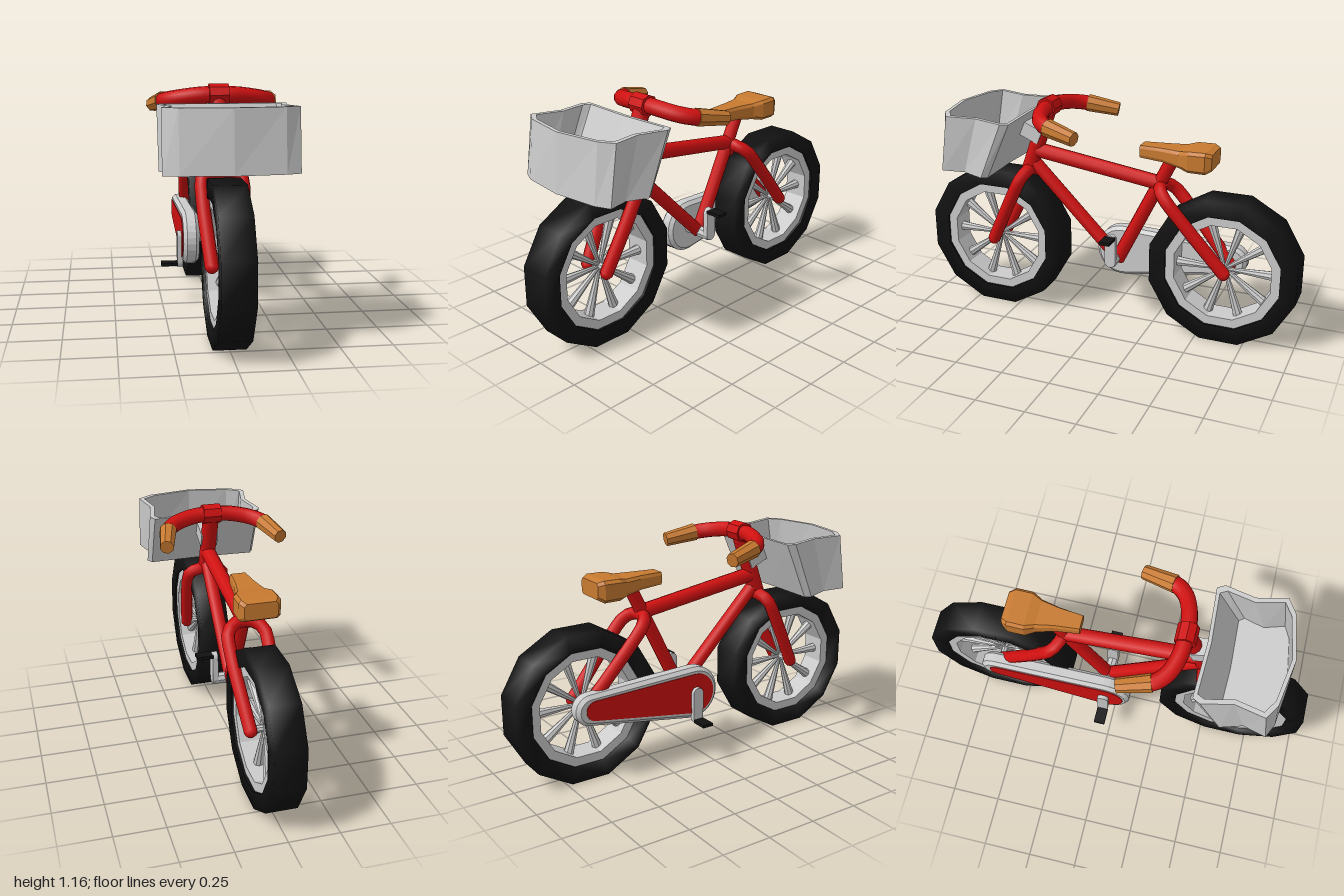
import * as THREE from 'three';

const V = (x, y, z) => new THREE.Vector3(x, y, z);
const mat = (color, flat = true) =>
  new THREE.MeshStandardMaterial({ color, flatShading: flat });
const red = mat(0xd01010, false), redFlat = mat(0xd01010), grey = mat(0xcccccc);
const tan = mat(0xc87a30), black = mat(0x111111), rubber = mat(0x111111, false);

export function createModel() {
  const model = new THREE.Group();
  const add = (name, geometry, material, parent = model) => {
    const mesh = new THREE.Mesh(geometry, material);
    mesh.name = name;
    parent.add(mesh);
    return mesh;
  };

  // straight round bar between two points
  const bar = (name, a, b, ra, rb, material, sides = 10, parent = model) => {
    const mesh = add(name, new THREE.CylinderGeometry(rb, ra, a.distanceTo(b), sides), material, parent);
    mesh.position.copy(a).lerp(b, 0.5);
    mesh.quaternion.setFromUnitVectors(V(0, 1, 0), b.clone().sub(a).normalize());
    return mesh;
  };

  // bent bar, mirrored across x = 0; half runs from the tip to the middle
  const bentBar = (name, half, r) => {
    const other = half.slice(0, -1).reverse().map(p => V(-p.x, p.y, p.z));
    const curve = new THREE.CatmullRomCurve3([...half, ...other]);
    add(name, new THREE.TubeGeometry(curve, 28, r, 10), red);
    for (const p of [half[0], other.at(-1)])
      add(name + 'End', new THREE.SphereGeometry(r, 10, 6), red).position.copy(p);
  };

  // skin over rings of equal point count, with both ends closed
  const loft = rings => {
    const pos = [], n = rings[0].length;
    const tri = (...pts) => pts.forEach(p => pos.push(p.x, p.y, p.z));
    const mid = ring => ring.reduce((s, p) => s.add(p), V(0, 0, 0)).divideScalar(n);
    const first = rings[0], last = rings.at(-1);
    for (let j = 0; j < n; j++) {
      const k = (j + 1) % n;
      for (let i = 0; i + 1 < rings.length; i++) {
        const a = rings[i], b = rings[i + 1];
        tri(a[j], a[k], b[k]);
        tri(a[j], b[k], b[j]);
      }
      tri(mid(first), first[k], first[j]);
      tri(mid(last), last[j], last[k]);
    }
    const g = new THREE.BufferGeometry();
    g.setAttribute('position', new THREE.Float32BufferAttribute(pos, 3));
    g.computeVertexNormals();
    return g;
  };

  // plate around two circles [z, y, radius], growing from x towards -x
  const linkPlate = (x, depth, bevel, [z1, y1, r1], [z2, y2, r2]) => {
    const t = Math.atan2(y2 - y1, z2 - z1);
    const d = Math.acos((r1 - r2) / Math.hypot(z2 - z1, y2 - y1));
    const s = new THREE.Shape();
    s.absarc(z1, y1, r1, t + d, t - d + Math.PI * 2, false);
    s.absarc(z2, y2, r2, t - d, t + d, false);
    const g = new THREE.ExtrudeGeometry(s, {
      depth: depth - 2 * bevel, curveSegments: 7, bevelEnabled: bevel > 0,
      bevelThickness: bevel, bevelSize: bevel, bevelOffset: -bevel, bevelSegments: 1
    });
    return g.rotateY(-Math.PI / 2).translate(x - bevel, 0, 0);
  };

  // twelve-sided ring around the x axis
  const ring = (ri, ro, w) => new THREE.LatheGeometry(
    [[ri, -w], [ro, -w], [ro, w], [ri, w], [ri, -w]].map(p => new THREE.Vector2(...p)),
    12, Math.PI / 12).rotateZ(Math.PI / 2);

  // wheels
  for (const [name, z] of [['frontWheel', 0.625], ['rearWheel', -0.625]]) {
    const wheel = new THREE.Group();
    wheel.name = name;
    wheel.position.set(0, 0.375, z);
    model.add(wheel);
    add('tyre', ring(0.302, 0.388, 0.077), rubber, wheel);
    add('rim', ring(0.255, 0.31, 0.065), grey, wheel);
    bar('axle', V(-0.09, 0, 0), V(0.09, 0, 0), 0.018, 0.018, grey, 8, wheel);
    for (let i = 0; i < 10; i++) {
      const a = i * Math.PI / 5, c = Math.cos(a), s = Math.sin(a);
      bar('spoke', V(0, 0, 0), V(0, 0.26 * s, 0.26 * c), 0.008, 0.026, grey, 8, wheel);
    }
  }

  // frame
  bar('topTube', V(0, 0.875, 0.4), V(0, 0.78, -0.28), 0.04, 0.038, red);
  bar('downTube', V(0, 0.82, 0.43), V(0, 0.34, -0.05), 0.034, 0.034, red);
  bar('seatTube', V(0, 0.33, -0.05), V(0, 0.92, -0.34), 0.036, 0.034, red);
  bar('headTube', V(0, 0.76, 0.45), V(0, 1.12, 0.32), 0.042, 0.042, red);
  bentBar('fork', [V(0.07, 0.365, 0.64), V(0.095, 0.65, 0.5), V(0.09, 0.74, 0.455),
    V(0.05, 0.765, 0.44), V(0, 0.767, 0.44)], 0.033);
  bentBar('rearStay', [V(0.07, 0.375, -0.635), V(0.095, 0.65, -0.4), V(0.09, 0.735, -0.325),
    V(0.05, 0.765, -0.29), V(0, 0.77, -0.28)], 0.033);

  // handlebar, clamp and grips
  bentBar('handlebar', [V(0.258, 1.075, 0.2), V(0.24, 1.083, 0.24), V(0.19, 1.095, 0.285),
    V(0.09, 1.11, 0.318), V(0, 1.113, 0.322)], 0.04);
  bar('clamp', V(-0.046, 1.113, 0.325), V(0.046, 1.113, 0.325), 0.052, 0.052, redFlat, 8);
  for (const s of [1, -1])
    bar('grip', V(0.252 * s, 1.08, 0.22), V(0.293 * s, 1.05, 0.06), 0.045, 0.036, tan, 8);

  // saddle: cross-sections [z, half width, bottom, top] from back to nose
  const saddle = [[-0.555, 0.08, 0.9, 0.98], [-0.525, 0.1, 0.883, 0.99], [-0.44, 0.1, 0.883, 0.988],
    [-0.39, 0.075, 0.893, 0.977], [-0.3, 0.055, 0.907, 0.977], [-0.178, 0.042, 0.913, 0.975]];
  add('saddle', loft(saddle.map(([z, w, b, t]) => [[0.85, b], [1, b + 0.015], [1, t - 0.015], [0.85, t],
    [-0.85, t], [-1, t - 0.015], [-1, b + 0.015], [-0.85, b]].map(([k, y]) => V(k * w, y, z)))), tan);

  // basket with pinched sides and a sloping back
  const half = [[0, 0.835], [0.23, 0.795], [0.3, 0.75], [0.268, 0.6], [0.3, 0.45], [0.28, 0.412], [0, 0.425]];
  const outline = [...half, ...half.slice(1, -1).reverse().map(([x, z]) => [-x, z])];
  const top = k => outline.map(([x, z]) => V(x * k, 1.08 + (z - 0.41) * 0.035, 0.62 + (z - 0.62) * k));
  const bottom = (k, lift) => outline.map(([x, z]) => {
    const u = (z - 0.62) * k * 0.74;
    return V(x * k, 0.8 + u * 0.06 + lift, 0.695 + u);
  });
  add('basket', loft([bottom(1, 0), top(1), top(0.91), bottom(0.91, 0.02)]), grey);
  const bracket = add('basketBracket', new THREE.BoxGeometry(0.09, 0.075, 0.12), grey);
  bracket.position.set(0, 0.975, 0.42);
  bracket.rotation.x = -0.4;

  // chain case with coloured side panel
  add('chainCase', linkPlate(-0.062, 0.082, 0.018, [-0.045, 0.345, 0.137], [-0.64, 0.385, 0.078]), grey);
  add('chainCasePanel', linkPlate(-0.13, 0.018, 0, [-0.045, 0.345, 0.105], [-0.62, 0.385, 0.05]), redFlat);

  // cranks and pedals
  bar('crankAxle', V(-0.15, 0.345, -0.045), V(0.09, 0.345, -0.045), 0.03, 0.03, grey, 8);
  for (const [x, y, pedalX] of [[-0.14, 0.215, -0.21], [0.1, 0.47, 0.138]]) {
    add('crank', linkPlate(x, 0.028, 0, [-0.045, 0.35, 0.03], [-0.045, y, 0.028]), grey);
    add('pedal', new THREE.BoxGeometry(0.085, 0.016, 0.058), black)
      .position.set(pedalX, y < 0.3 ? 0.205 : 0.483, -0.045);
  }
  return model;
}
